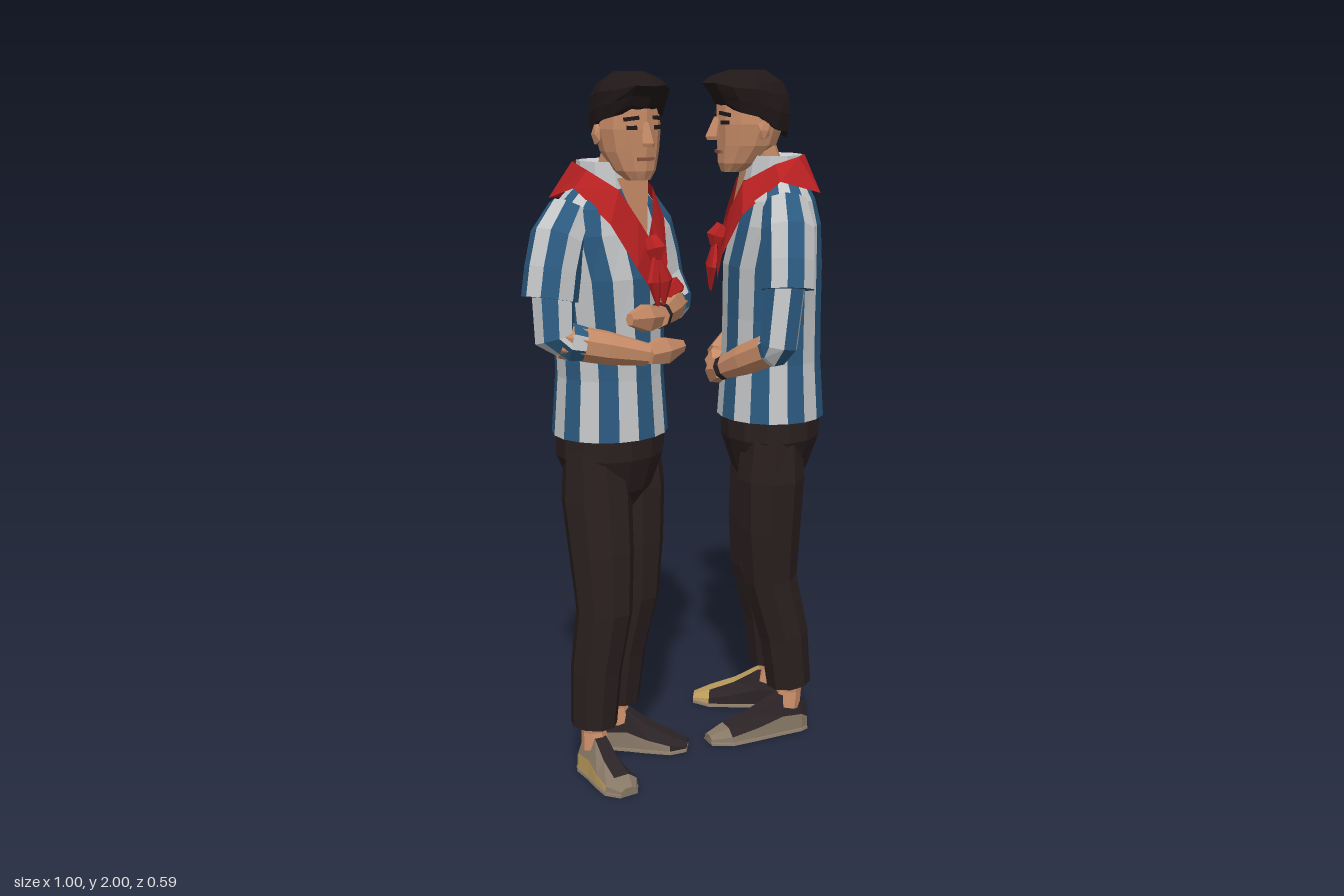
import * as THREE from 'three';

const mat = (name, color, open) => {
  const m = new THREE.MeshStandardMaterial({ color });
  m.name = name;
  if (open) m.side = THREE.DoubleSide;
  return m;
};
const V = (x, y, z) => new THREE.Vector3(x, y, z);
const lerp = THREE.MathUtils.lerp;

// Faceted skin over a list of rings; columns alternate through the materials, caps take the last
function loft(name, rings, mats, caps = true) {
  mats = [].concat(mats);
  const buckets = mats.map(() => []);
  const n = rings[0].length, last = mats.length - 1;
  const tri = (k, ...p) => p.forEach(v => buckets[k].push(v.x, v.y, v.z));
  for (let i = 0; i < rings.length - 1; i++) {
    for (let j = 0; j < n; j++) {
      const a = rings[i][j], b = rings[i][(j + 1) % n];
      const c = rings[i + 1][(j + 1) % n], d = rings[i + 1][j];
      tri(j % mats.length, a, b, c);
      tri(j % mats.length, a, c, d);
    }
  }
  if (caps) {
    const s = rings[0], e = rings[rings.length - 1];
    for (let j = 1; j < n - 1; j++) {
      tri(last, s[0], s[j + 1], s[j]);
      tri(last, e[0], e[j], e[j + 1]);
    }
  }
  const g = new THREE.BufferGeometry();
  g.setAttribute('position', new THREE.Float32BufferAttribute(buckets.flat(), 3));
  let start = 0;
  buckets.forEach((b, k) => { g.addGroup(start, b.length / 3, k); start += b.length / 3; });
  g.computeVertexNormals();
  const mesh = new THREE.Mesh(g, mats.length > 1 ? mats : mats[0]);
  mesh.name = name;
  return mesh;
}

// Upright body from [y, halfWidth, halfDepth, zOffset] sections
const stack = (name, rows, sides, mats, caps) => loft(name, rows.map(([y, rx, rz, cz]) =>
  Array.from({ length: sides }, (_, j) => {
    const a = j / sides * Math.PI * 2;
    return V(rx * Math.sin(a), y, cz + rz * Math.cos(a));
  })), mats, caps);

// Tapered limb through [x, y, z, radius] points
function limb(name, pts, mats, sides = 8, flat = 1) {
  const p = pts.map(q => V(q[0], q[1], q[2]));
  const u = V(0.15, 0.1, 1);
  return loft(name, p.map((c, i) => {
    const t = p[Math.min(i + 1, p.length - 1)].clone().sub(p[Math.max(i - 1, 0)]).normalize();
    u.addScaledVector(t, -u.dot(t)).normalize();
    const v = t.clone().cross(u);
    return Array.from({ length: sides }, (_, j) => {
      const a = j / sides * Math.PI * 2, r = pts[i][3];
      return c.clone().addScaledVector(u, r * flat * Math.cos(a)).addScaledVector(v, r * Math.sin(a));
    });
  }), mats);
}

function box(name, size, pos, rot, m) {
  const b = new THREE.Mesh(new THREE.BoxGeometry(...size), m);
  b.name = name;
  b.position.set(...pos);
  b.rotation.set(...rot);
  return b;
}

export function createModel() {
  const M = {
    white: mat('shirt white', 0xc4c6c8, true), blue: mat('shirt blue', 0x2c5a80),
    red: mat('scarf red', 0xb82021, true), trousers: mat('trouser brown', 0x2a1f1f),
    skin: mat('skin', 0xc58a66), hair: mat('hair', 0x211818),
    dark: mat('shoe dark', 0x2b2325), tan: mat('shoe tan', 0xbd9d5e),
    taupe: mat('sole taupe', 0x877866), lips: mat('lips', 0x8c5442),
  };
  const stripes = [M.white, M.blue];

  function makeHead() {
    const head = new THREE.Group();
    head.name = 'head';
    head.add(stack('face', [[1.715, .035, .03, .055], [1.74, .058, .06, .035], [1.79, .078, .088, .01],
      [1.85, .087, .102, 0], [1.91, .08, .1, 0], [1.945, .055, .07, 0]], 12, M.skin));
    // Hair drops lower at the nape and swells into a front quiff
    const rows = [[0, .093, .11, -.003], [.3, .1, .122, 0], [.6, .1, .13, .014], [.8, .082, .11, .012], [1, .035, .055, .01]];
    head.add(loft('hair', rows.map(([t, rx, rz, cz], i) => Array.from({ length: 12 }, (_, j) => {
      const a = j / 12 * Math.PI * 2;
      const bump = i > 1 && i < 4 && j % 3 === 1 ? .94 : 1;
      return V(rx * bump * Math.sin(a), lerp(1.862 + .05 * Math.cos(a) + (j % 2 ? .008 : -.004), 2, t), cz + rz * bump * Math.cos(a));
    })), M.hair));
    head.add(stack('nose', [[1.805, .018, .022, .106], [1.815, .02, .026, .108], [1.87, .009, .012, .096]], 4, M.skin));
    head.add(box('mouth', [.05, .009, .009], [0, 1.772, .094], [0, 0, 0], M.lips));
    for (const s of [-1, 1]) {
      head.add(box('eye', [.028, .011, .009], [s * .04, 1.855, .088], [0, s * .42, 0], M.hair));
      head.add(box('eyebrow', [.042, .01, .009], [s * .042, 1.879, .089], [0, s * .42, s * -.12], M.hair));
      const ear = new THREE.Mesh(new THREE.IcosahedronGeometry(.03, 0), M.skin);
      ear.name = 'ear';
      ear.scale.set(.4, 1.05, .7);
      ear.position.set(s * .091, 1.835, -.01);
      head.add(ear);
    }
    return head;
  }

  function makeFoot(f) {
    const foot = new THREE.Group();
    foot.name = 'foot';
    const L = f.length;
    const st = [[-.06, .028, .075], [-.035, .04, .11], [.03, .043, .12], [L * .45, .05, .075], [L * .78, .054, .045], [L, .026, .025]];
    const ring = ([z, w, h], y0, grow) => [[1, 0], [.95, .45], [.45, 1], [-.45, 1], [-.95, .45], [-1, 0]]
      .map(([x, y]) => V(x * (w + grow), y0 + y * (h - y0), z * (1 + grow)));
    const shoe = st.map(s => ring(s, .01, 0));
    foot.add(loft('shoe', shoe.slice(0, 5), f.sides), loft('shoeToe', shoe.slice(4), f.toe));
    foot.add(loft('sole', st.map(([z, w]) => ring([z, w, .014], 0, .003)), M.taupe));
    foot.add(limb('ankle', [[0, .08, 0, .042], [0, .13, -.01, .036], [0, .22, -.01, .04]], M.skin));
    foot.position.set(f.at[0], 0, f.at[1]);
    foot.rotation.y = f.yaw;
    return foot;
  }

  function makeArm(s, a) {
    const arm = new THREE.Group();
    arm.name = s > 0 ? 'leftArm' : 'rightArm';
    const { elbow: e, wrist: w, tip } = a;
    const at = (t, r, up = 0) => [lerp(e[0], w[0], t), lerp(e[1], w[1], t) + up, lerp(e[2], w[2], t), r];
    arm.add(limb('sleeve', [[s * .14, 1.63, -.025, .065], [s * .195, 1.56, -.025, .078], [s * .225, 1.48, -.022, .077],
      [s * .242, 1.405, -.02, .077]], stripes, 10));
    arm.add(limb('lowerSleeve', [[s * .23, 1.47, -.02, .06], [...e, .056], at(a.sleeve * .5, .055), at(a.sleeve, .05)], stripes, 8));
    // Red strip lying along the top of the forearm
    if (a.strip) arm.add(limb('redStrip', [at(-.12, .028, .045), at(.2, .038, .036), at(.65, .02, .034)], M.red, 6));
    arm.add(limb('forearm', [at(.05, .05), at(.55, .047), at(1, .032)], M.skin));
    arm.add(limb('hand', [[...w, .03], [0, 1, 2].map(i => lerp(w[i], tip[i], .45)).concat(.042), [...tip, .018]], M.skin, 6, .75));
    if (s > 0) arm.add(limb('watch', [at(.9, .037), at(.98, .035)], M.dark));
    return arm;
  }

  function makeFigure(o) {
    const g = new THREE.Group();
    g.name = o.name;
    // Shirt
    g.add(stack('shirt', [[1, .175, .16, -.01], [1.17, .162, .148, -.01], [1.3, .17, .146, -.01], [1.45, .19, .145, -.01],
      [1.57, .213, .127, -.02], [1.64, .19, .107, -.022], [1.69, .12, .085, -.02], [1.73, .08, .07, -.015]], 18, stripes));
    g.add(stack('collar', [[1.69, .095, .09, -.008], [1.762, .088, .082, -.012], [1.735, .055, .05, 0]], 10, M.white, false));
    const chest = new THREE.BufferGeometry();
    chest.setAttribute('position', new THREE.Float32BufferAttribute([-.07, 1.72, .078, 0, 1.53, .125, .07, 1.72, .078], 3));
    chest.computeVertexNormals();
    const vNeck = new THREE.Mesh(chest, M.skin);
    vNeck.name = 'openNeck';
    g.add(vNeck, limb('neck', [[0, 1.62, -.01, .06], [0, 1.7, .01, .058], [0, 1.8, .045, .056]], M.skin));
    // Scarf draped around the neck, with knot and tails
    const around = half => [...half, ...half.slice(1, -1).reverse().map(([x, y, z]) => [-x, y, z])].map(p => V(...p));
    g.add(loft('scarf', [
      around([[0, 1.4, .152], [.068, 1.48, .145], [.12, 1.6, .095], [.145, 1.695, -.01], [.11, 1.66, -.13], [0, 1.655, -.145]]),
      around([[0, 1.56, .132], [.032, 1.61, .12], [.075, 1.69, .088], [.1, 1.74, 0], [.08, 1.76, -.07], [0, 1.762, -.1]]),
    ], M.red, false));
    g.add(limb('scarfKnot', [[0, 1.56, .138, .018], [0, 1.53, .155, .03], [0, 1.5, .155, .018]], M.red, 6));
    for (const s of [-1, 1])
      g.add(limb('scarfTail', [[0, 1.52, .157, .012], [s * .024, 1.44, .17, .034], [s * .012, 1.37, .172, .006]], M.red, 6, .4));
    if (o.patch) g.add(box('scarfPatch', [.045, .06, .009], [.03, 1.712, -.123], [.39, 0, 0], M.taupe));
    // Trousers and feet
    g.add(stack('trouserSeat', [[.76, .04, .06, -.01], [.84, .12, .115, -.01], [.94, .168, .148, -.01], [1.02, .165, .15, -.01]], 14, M.trousers));
    o.feet.forEach((f, i) => {
      const s = i ? 1 : -1, [ax, az] = f.at;
      const on = (t, y, dz, r) => [lerp(s * .08, ax, t), y, lerp(-.005, az, t) + dz, r];
      g.add(limb(s > 0 ? 'leftTrouserLeg' : 'rightTrouserLeg', [on(0, .97, 0, .088), on(.08, .82, .008, .102), on(.35, .66, .025, .094),
        on(.6, .5, .035, .082), on(.85, .32, .005, .075), on(1, .155, -.005, .068)], M.trousers, 9));
      g.add(makeFoot(f));
    });
    // Arms and head
    o.arms.forEach((a, i) => g.add(makeArm(i ? 1 : -1, a)));
    const head = makeHead();
    head.position.z = .06;
    head.rotation.y = o.headYaw;
    g.add(head);
    g.position.set(o.at[0], 0, o.at[1]);
    g.rotation.y = o.yaw;
    return g;
  }

  // Shoe colours run from the left side over the top to the right side and underside
  const { dark, tan, taupe } = M;
  const model = new THREE.Group();
  model.name = 'twoStandingMen';
  model.add(makeFigure({
    name: 'manFacingFront', at: [-.21, -.03], yaw: .44, headYaw: -.36, patch: true,
    feet: [{ at: [-.14, .035], yaw: -.35, length: .18, sides: [dark, dark, dark, taupe, tan, tan], toe: taupe },
      { at: [.045, -.025], yaw: .51, length: .21, sides: [tan, tan, dark, dark, taupe, tan], toe: dark }],
    arms: [{ elbow: [-.252, 1.3, .005], wrist: [-.05, 1.245, .165], tip: [.09, 1.25, .18], sleeve: .3 },
      { elbow: [.255, 1.345, .03], wrist: [-.01, 1.345, .17], tip: [-.14, 1.355, .172], sleeve: .25, strip: true }],
  }));
  model.add(makeFigure({
    name: 'manFacingSide', at: [.296, -.01], yaw: -1.994, headYaw: .2,
    feet: [{ at: [-.135, -.035], yaw: -.18, length: .24, sides: [dark, dark, tan, tan, tan, tan], toe: tan },
      { at: [.062, -.065], yaw: .32, length: .265, sides: [taupe, dark, dark, dark, dark, dark], toe: taupe }],
    arms: [{ elbow: [-.25, 1.235, 0], wrist: [-.08, 1.16, .145], tip: [.04, 1.14, .165], sleeve: .14 },
      { elbow: [.25, 1.245, .005], wrist: [.09, 1.15, .15], tip: [-.03, 1.12, .17], sleeve: .14 }],
  }));
  return model;
}
